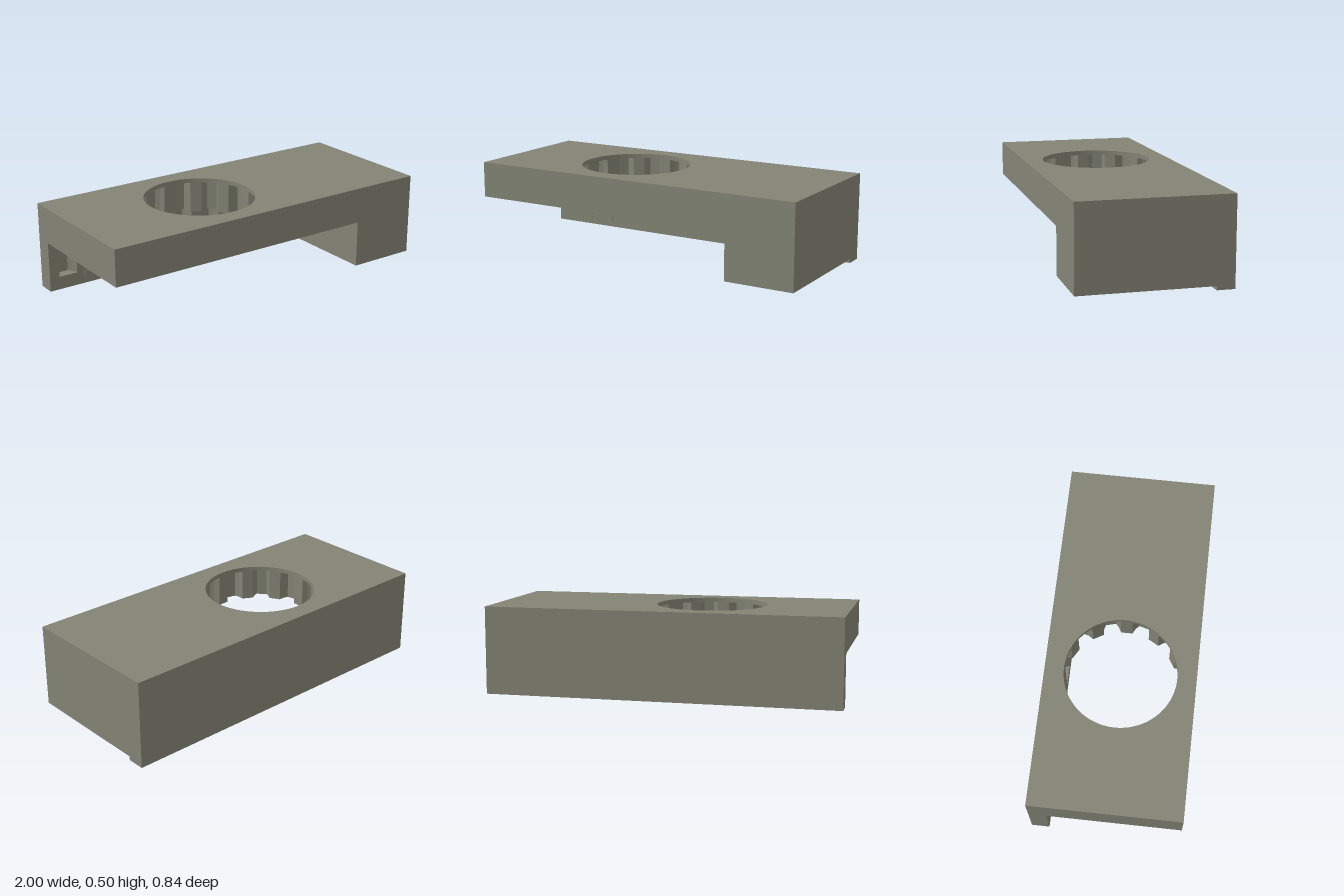
import * as THREE from 'three';
import { toCreasedNormals } from 'three/addons/utils/BufferGeometryUtils.js';

const HOLE_X = -0.21, HOLE_R = 0.313;

export function createModel() {
  const group = new THREE.Group();
  const material = new THREE.MeshStandardMaterial({ color: 0x838475 });
  material.name = 'olive grey';

  function add(name, geometry) {
    const mesh = new THREE.Mesh(geometry, material);
    mesh.name = name;
    group.add(mesh);
  }

  // Box given by its limits on each axis
  function box(name, x0, x1, y0, y1, z0, z1) {
    const g = new THREE.BoxGeometry(x1 - x0, y1 - y0, z1 - z0);
    g.translate((x0 + x1) / 2, (y0 + y1) / 2, (z0 + z1) / 2);
    add(name, g);
  }

  // Plan outline (x, z) extruded down from y1 to y0
  function plan(name, shape, y0, y1) {
    const g = new THREE.ExtrudeGeometry(shape, { depth: y1 - y0, bevelEnabled: false, curveSegments: 72 });
    g.rotateX(Math.PI / 2).translate(0, y1, 0);
    add(name, toCreasedNormals(g, 0.3));
  }

  const rectangle = () => new THREE.Shape([[-1, -0.42], [1, -0.42], [1, 0.42], [-1, 0.42]]
    .map(([x, z]) => new THREE.Vector2(x, z)));

  // Thin top plate with a round opening
  const top = rectangle();
  top.holes.push(new THREE.Path().absarc(HOLE_X, 0, HOLE_R, 0, Math.PI * 2, true));
  plan('topLip', top, 0.47, 0.495);

  // Slab below it with a gear-shaped socket
  const socket = [];
  const polar = (r, deg) => {
    const a = THREE.MathUtils.degToRad(deg);
    socket.push(new THREE.Vector2(HOLE_X + r * Math.cos(a), r * Math.sin(a)));
  };
  for (let i = 0; i < 12; i++) {
    const mid = 15 + i * 30;
    polar(0.316, mid - 15);
    polar(0.318, mid - 9);
    polar(0.35, mid - 7);
    polar(0.372, mid - 4.5);
    polar(0.372, mid + 4.5);
    polar(0.35, mid + 7);
    polar(0.318, mid + 9);
  }
  const slab = rectangle();
  slab.holes.push(new THREE.Path(socket));
  plan('gearSocketSlab', slab, 0.29, 0.47);

  // Back wall: plain foot and a grooved rack above it
  box('wallFoot', -1, 1, 0, 0.075, -0.42, -0.32);
  const rack = new THREE.Shape().moveTo(1, -0.32).lineTo(1, -0.42).lineTo(-1, -0.42).lineTo(-1, -0.32);
  for (let i = 0; i < 8; i++) {
    const x = -0.885 + i * 0.1936;
    rack.lineTo(x - 0.056, -0.32).lineTo(x - 0.045, -0.35).lineTo(x - 0.027, -0.38);
    rack.lineTo(x + 0.027, -0.38).lineTo(x + 0.045, -0.35).lineTo(x + 0.056, -0.32);
  }
  plan('rackWall', rack, 0.075, 0.29);

  // Small index marks below the second groove
  for (const x of [-0.768, -0.618]) {
    box('indexMark', x - 0.018, x + 0.018, 0.035, 0.075, -0.32, -0.315);
  }

  // End block
  box('endBlock', 0.6, 1, 0.022, 0.29, -0.32, 0.42);

  return group;
}
